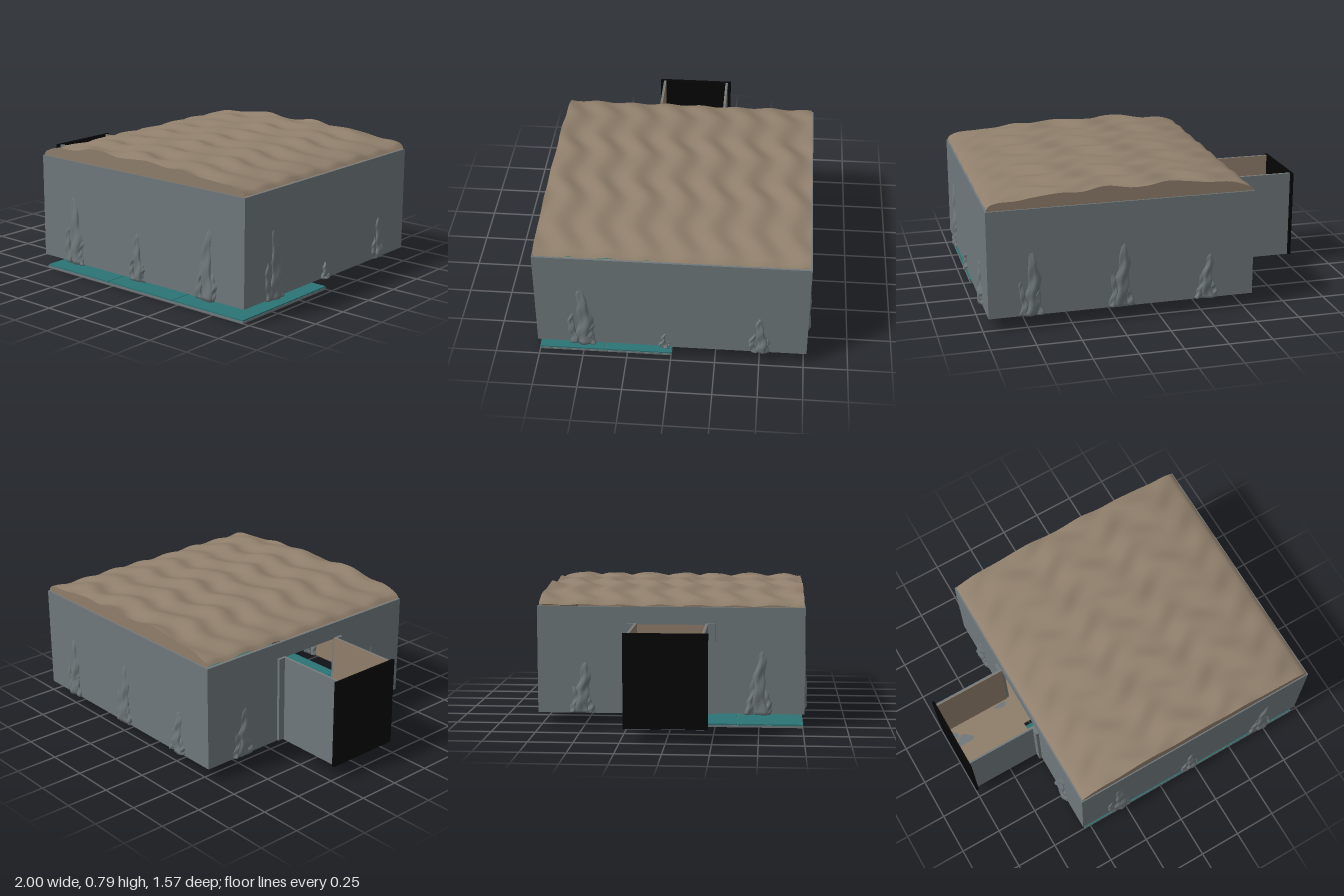
import * as THREE from 'three';
import { mergeVertices } from 'three/addons/utils/BufferGeometryUtils.js';

const mat = (name, color, side = THREE.FrontSide) => {
  const m = new THREE.MeshStandardMaterial({ color, side });
  m.name = name;
  return m;
};

export function createModel() {
  const root = new THREE.Group();
  root.name = 'caveRoom';
  const stone = mat('greyStone', 0x6f787b, THREE.DoubleSide);
  const sand = mat('brownRock', 0x8f7e6b, THREE.DoubleSide);
  const black = mat('blackEnd', 0x050505);
  const water = mat('tealWater', 0x2c7476);

  const add = (name, geo, m, parent = root) => {
    const mesh = new THREE.Mesh(geo, m);
    mesh.name = name;
    parent.add(mesh);
    return mesh;
  };
  // box given by its two opposite corners
  const box = (name, m, x0, x1, y0, y1, z0, z1) => {
    const b = add(name, new THREE.BoxGeometry(x1 - x0, y1 - y0, z1 - z0), m);
    b.position.set((x0 + x1) / 2, (y0 + y1) / 2, (z0 + z1) / 2);
    return b;
  };

  const X0 = -0.553, X1 = 0.97, Z0 = -0.765, Z1 = 0.757;
  const Y0 = 0.083, Y1 = 0.69, T = 0.012, L = 0.005;

  // room walls: grey outside, brown lining inside
  box('frontWall', stone, X0, X1, Y0, Y1, Z1 - T, Z1);
  box('frontLining', sand, X0 + T, X1 - T, Y0, Y1, Z1 - T - L, Z1 - T);
  box('backWall', stone, X0, X1, Y0, Y1, Z0, Z0 + T);
  box('backLining', sand, X0 + T, X1 - T, Y0, Y1, Z0 + T, Z0 + T + L);
  box('leftWall', stone, X1 - T, X1, Y0, Y1, Z0 + T, Z1 - T);
  box('leftLining', sand, X1 - T - L, X1 - T, Y0, Y1, Z0 + T, Z1 - T);

  // wall with the doorway
  const D = 0.2, doorTop = 0.59;
  for (const [z0, z1, y0] of [[Z0 + T, -D, Y0], [D, Z1 - T, Y0], [-D, D, doorTop]]) {
    box('rightWall', stone, X0, X0 + T, y0, Y1, z0, z1);
    box('rightLining', sand, X0 + T, X0 + T + L, y0, Y1, z0, z1);
  }

  // upper floor at the back half
  box('upperFloor', stone, X0, X1, 0.076, Y0, Z0, 0);
  box('upperFloorTop', sand, X0 + T, X1 - T, Y0, Y0 + L, Z0 + T, 0);

  // sunken pool at the front half, in a grid of tiles
  for (let i = 0; i < 3; i++) {
    for (let j = 0; j < 2; j++) {
      const x = -0.54 + i * 0.5, z = j * 0.376;
      box('poolBed', stone, x, x + 0.5, 0, 0.012, z, z + 0.376);
      box('poolWater', water, x + 0.002, x + 0.498, 0.012, 0.02, z + 0.002, z + 0.374);
    }
  }

  // open-topped side passage
  box('passageFloor', stone, -0.99, X0, 0.076, Y0, -0.21, 0.21);
  box('passageFloorTop', sand, -0.985, X0 + T, Y0, Y0 + L, -D, D);
  for (const s of [1, -1]) {
    const span = (a, b) => [Math.min(s * a, s * b), Math.max(s * a, s * b)];
    box('passageWall', stone, -0.985, X0, Y0, 0.597, ...span(0.2, 0.21));
    box('passageLining', sand, -0.985, X0, Y0, 0.597, ...span(0.195, 0.2));
    box('doorJamb', stone, -0.57, X0, Y0, 0.597, ...span(0.21, 0.25));
  }
  box('passageEnd', black, -1, -0.985, 0.08, 0.6, -0.23, 0.23);

  // grey patches on the passage floor
  const patch = (x, z, rx, rz, seed) => {
    const pts = [];
    for (let i = 0; i < 12; i++) {
      const a = i / 12 * Math.PI * 2, r = 1 + 0.22 * Math.sin(3 * a + seed);
      pts.push(new THREE.Vector2(x + rx * r * Math.cos(a), -(z + rz * r * Math.sin(a))));
    }
    const g = new THREE.ShapeGeometry(new THREE.Shape(pts.reverse()));
    g.rotateX(-Math.PI / 2);
    add('floorPatch', g, stone).position.y = Y0 + L + 0.002;
  };
  [[-0.91, -0.09, 0.055, 0.03, 0], [-0.955, -0.14, 0.025, 0.03, 1], [-0.95, 0.07, 0.028, 0.022, 2],
    [-0.67, 0.065, 0.05, 0.012, 3], [-0.61, -0.175, 0.04, 0.015, 4], [-0.95, 0.15, 0.025, 0.012, 5],
    [-0.585, 0.13, 0.018, 0.03, 6]].forEach(p => patch(...p));

  // rippled, vaulted roof
  const RX0 = -0.545, RX1 = 0.963, RZ0 = -0.755, RZ1 = 0.75;
  const roofY = (x, z) => {
    const u = Math.min(1, Math.abs(x - (RX0 + RX1) / 2) / ((RX1 - RX0) / 2));
    const vault = Math.sqrt(1 - u * u);
    const phase = 2 * Math.PI * (z / 0.215 + 0.5 * x) + 1.1 * Math.sin(2 * Math.PI * x / 0.42);
    const ripple = 0.011 * Math.sin(phase) + 0.004 * Math.sin(19 * x - 11 * z);
    return 0.698 + 0.08 * vault + ripple * (0.35 + 0.65 * vault);
  };
  const roof = new THREE.PlaneGeometry(RX1 - RX0, RZ1 - RZ0, 96, 110);
  roof.rotateX(-Math.PI / 2);
  roof.translate((RX0 + RX1) / 2, 0, (RZ0 + RZ1) / 2);
  const rp = roof.attributes.position;
  for (let i = 0; i < rp.count; i++) rp.setY(i, roofY(rp.getX(i), rp.getZ(i)));
  roof.computeVertexNormals();
  add('roof', roof, sand);

  // gables closing the roof above the walls
  for (const z of [RZ0, RZ1]) {
    const s = new THREE.Shape();
    s.moveTo(RX0, 0.68);
    s.lineTo(RX1, 0.68);
    for (let i = 96; i >= 0; i--) {
      const x = RX0 + (RX1 - RX0) * i / 96;
      s.lineTo(x, roofY(x, z));
    }
    const g = new THREE.ShapeGeometry(s);
    if (z < 0) g.rotateY(Math.PI).scale(-1, 1, 1);
    add('roofGable', g, sand).position.z = z;
  }

  // lumpy rock columns swelling out of the walls; local +z points outward
  const lobe = (parent, x, w, h, depth, seed) => {
    let g = new THREE.CylinderGeometry(1, 1, 1, 20, 22);
    g.deleteAttribute('normal');
    g.deleteAttribute('uv');
    g = mergeVertices(g);
    const p = g.attributes.position;
    for (let i = 0; i < p.count; i++) {
      const t = p.getY(i) + 0.5, a = Math.atan2(p.getZ(i), p.getX(i));
      const r = Math.hypot(p.getX(i), p.getZ(i));
      const taper = (1 - 0.45 * t) * Math.sqrt(Math.max(0, 1 - Math.pow(t, 9)));
      const k = r * taper * (1 + 0.12 * Math.sin(5 * a + 4 * t + seed) + 0.13 * Math.sin(17 * t + 2 * a + seed * 2));
      p.setXYZ(i, x + w * k * Math.cos(a) + 0.012 * Math.sin(5 * t + seed), Y0 - 0.004 + h * t, depth * k * Math.sin(a));
    }
    g.computeVertexNormals();
    add('rockLobe', g, stone, parent);
  };
  const column = (x, z, turn, h, w, seed) => {
    const c = new THREE.Group();
    c.name = 'rockColumn';
    c.position.set(x, 0, z);
    c.rotation.y = turn;
    root.add(c);
    lobe(c, w * 0.1, w * 0.62, h, 0.028, seed);
    lobe(c, -w * 0.6, w * 0.36, h * 0.55, 0.022, seed + 1.7);
    lobe(c, w * 0.55, w * 0.36, h * 0.4, 0.024, seed + 3.1);
  };
  const H = Math.PI / 2, F = Z1 - 0.008, B = Z0 + 0.008, R = X1 - 0.006, W = X0 + 0.008;
  column(-0.3, F, 0, 0.41, 0.085, 0);
  column(0.2, F, 0, 0.28, 0.06, 1);
  column(0.71, F, 0, 0.41, 0.075, 2);
  column(-0.28, B, 2 * H, 0.27, 0.065, 3);
  column(0.22, B, 2 * H, 0.38, 0.075, 4);
  column(0.73, B, 2 * H, 0.38, 0.075, 5);
  column(R, 0.5, H, 0.4, 0.085, 6);
  column(R, -0.5, H, 0.25, 0.06, 7);
  column(R, 0.035, H, 0.1, 0.025, 8);
  column(W, 0.5, -H, 0.38, 0.075, 9);
  column(W, -0.51, -H, 0.3, 0.075, 10);

  return root;
}
